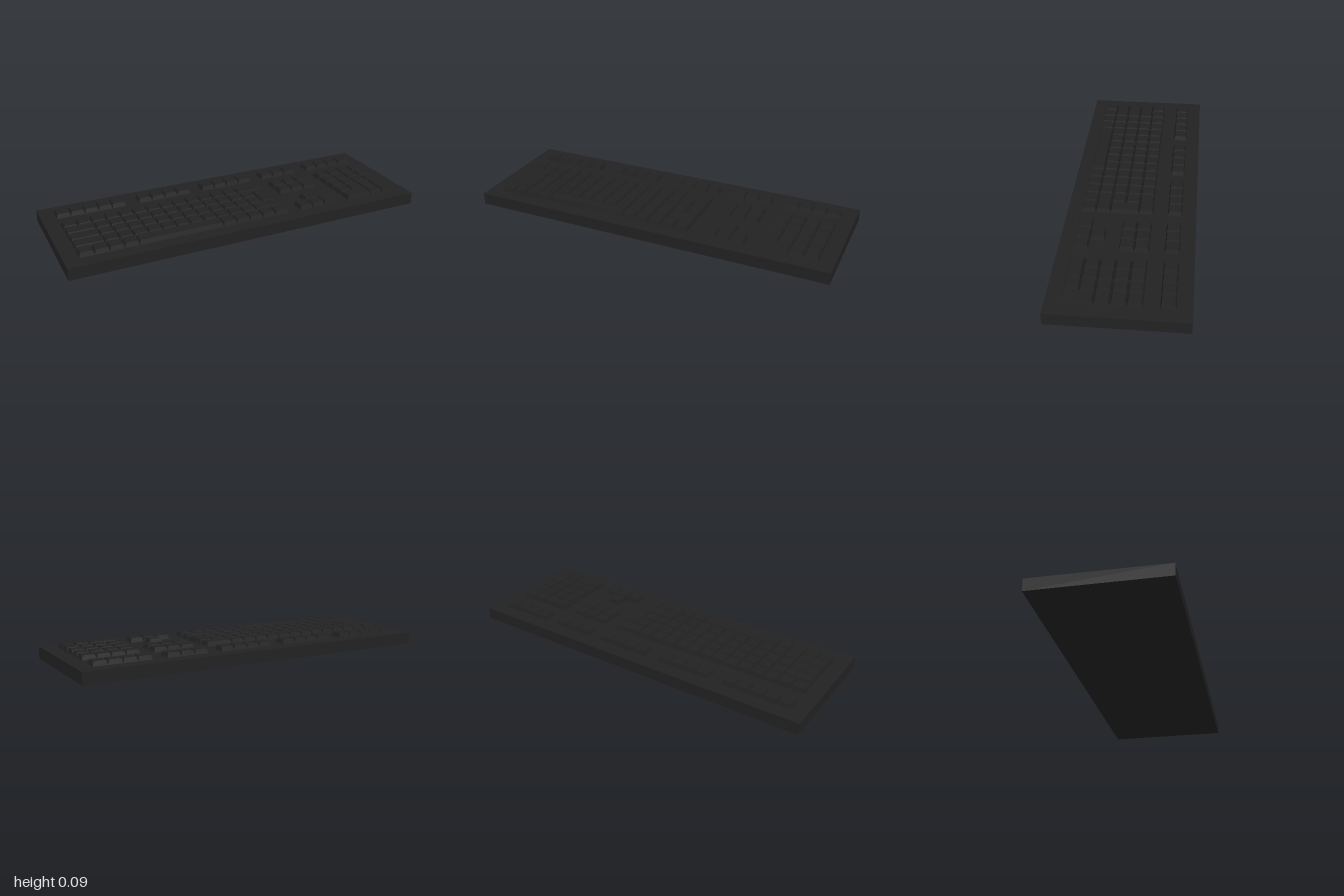
import * as THREE from 'three';

const U = 0.0768;          // key pitch
const BASE_H = 0.065;      // height of the case
const KEY_H = 0.024;       // height of a key
const TAPER = 0.007;       // inset of a key's top edges
const DEPTH = 0.69;

// Tapered key cap covering w by d key units
function keyGeometry(w, d) {
  const geo = new THREE.BoxGeometry(w * U - 0.001, KEY_H, d * U - 0.001);
  const p = geo.attributes.position;
  for (let i = 0; i < p.count; i++) {
    if (p.getY(i) > 0) {
      p.setX(i, p.getX(i) - Math.sign(p.getX(i)) * TAPER);
      p.setZ(i, p.getZ(i) - Math.sign(p.getZ(i)) * TAPER);
    }
  }
  geo.computeVertexNormals();
  return geo;
}

export function createModel() {
  const model = new THREE.Group();
  model.name = 'keyboard';
  const black = new THREE.MeshStandardMaterial({ color: 0x222222 });
  black.name = 'black plastic';

  // Case
  const base = new THREE.Mesh(new THREE.BoxGeometry(2, BASE_H, DEPTH), black);
  base.name = 'case';
  base.position.y = BASE_H / 2;
  model.add(base);

  const section = (name) => {
    const g = new THREE.Group();
    g.name = name;
    model.add(g);
    return g;
  };
  // Key at column, row on a 24 by 7 grid centred on the case
  const key = (group, name, col, row, w = 1, d = 1) => {
    const m = new THREE.Mesh(keyGeometry(w, d), black);
    m.name = name;
    m.position.set((col + w / 2 - 12) * U, BASE_H + KEY_H / 2, (row + d / 2 - 3.5) * U);
    group.add(m);
  };
  const run = (group, from, to, row) => {
    for (let c = from; c < to; c++) key(group, 'key', c, row);
  };

  // Top row in separate blocks
  const top = section('functionKeys');
  for (const [from, to] of [[0, 5], [6, 10], [11, 15], [16, 19], [20, 24]]) run(top, from, to, 0);

  // Main block
  const main = section('mainKeys');
  run(main, 0, 13, 2);
  key(main, 'backspaceKey', 13, 2, 2);
  key(main, 'tabKey', 0, 3, 2);
  run(main, 2, 14, 3);
  key(main, 'capsLockKey', 0, 4, 2);
  run(main, 2, 14, 4);
  key(main, 'enterKey', 14, 3, 1, 2);
  key(main, 'leftShiftKey', 0, 5, 2);
  run(main, 2, 13, 5);
  key(main, 'rightShiftKey', 13, 5, 2);
  run(main, 0, 4, 6);
  key(main, 'spaceBar', 4, 6, 6);
  run(main, 10, 15, 6);

  // Navigation keys and arrows
  const nav = section('navigationKeys');
  run(nav, 16, 19, 2);
  run(nav, 16, 19, 3);
  key(nav, 'upArrowKey', 17, 5);
  run(nav, 16, 19, 6);

  // Number pad
  const pad = section('numberPad');
  for (const row of [2, 3, 4]) run(pad, 20, 24, row);
  run(pad, 20, 23, 5);
  key(pad, 'zeroKey', 20, 6, 2);
  key(pad, 'pointKey', 22, 6);
  key(pad, 'padEnterKey', 23, 5, 1, 2);

  return model;
}
